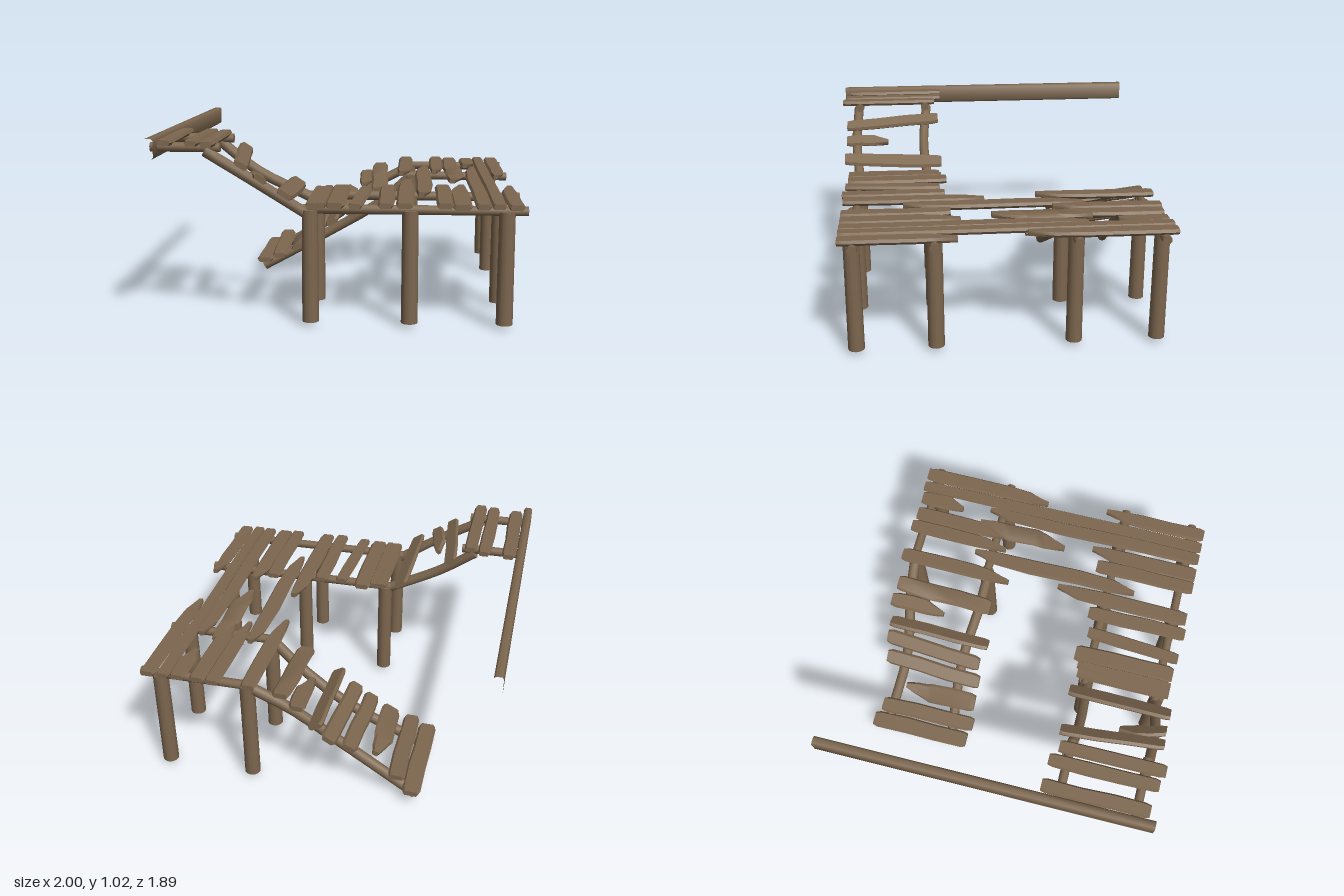
import * as THREE from 'three';
import { toCreasedNormals } from 'three/addons/utils/BufferGeometryUtils.js';

const wood = new THREE.MeshStandardMaterial({ color: 0x7d674f });
wood.name = 'weathered wood';

// Skin over equal-sized rings of points, each ring counter-clockwise about the direction of travel
function loft(rings, capped = true) {
  const n = rings[0].length, last = (rings.length - 1) * n, index = [];
  for (let i = 0; i < rings.length - 1; i++) {
    for (let k = 0; k < n; k++) {
      const a = i * n + k, b = i * n + (k + 1) % n;
      index.push(a, b, b + n, a, b + n, a + n);
    }
  }
  if (capped) {
    for (let k = 1; k < n - 1; k++) index.push(0, k + 1, k, last, last + k, last + k + 1);
  }
  const geo = new THREE.BufferGeometry();
  geo.setAttribute('position', new THREE.Float32BufferAttribute(rings.flat().flatMap(p => p.toArray()), 3));
  geo.setIndex(index);
  return toCreasedNormals(geo, 0.85);
}

// Small seeded generator for the uneven plank edges
let seed = 11;
function jitter(amount) {
  seed = (seed * 16807) % 2147483647;
  return (seed / 2147483647 - 0.5) * 2 * amount;
}

// Bevelled plank from the back end to the front end; a broken end narrows to a splinter
function plank([x0, y0, z0], [x1, y1, z1], width, { roll = 0, breakBack = false, breakFront = false } = {}) {
  const start = new THREE.Vector3(x0, y0, z0), end = new THREE.Vector3(x1, y1, z1);
  const length = start.distanceTo(end), thick = 0.03;
  const side = new THREE.Vector3(Math.cos(roll), Math.sin(roll), 0);
  const up = new THREE.Vector3(-Math.sin(roll), Math.cos(roll), 0);
  const section = [[0.5, 0], [0.38, 0.5], [-0.38, 0.5], [-0.5, 0], [-0.38, -0.5], [0.38, -0.5]];
  const tip = 0.03 / length, tear = Math.min(0.3, 0.13 / length);
  // [position, width factor, sideways shift]
  const stations = [
    ...(breakBack ? [[0, 0.3, 0.2], [tear * 0.5, 0.6, 0.14], [tear, 0.85, 0.05]] : [[0, 0.78, 0], [tip, 0.95, 0]]),
    [0.36, 1, jitter(0.05)], [0.66, 0.97, jitter(0.05)],
    ...(breakFront ? [[1 - tear, 0.88, -0.05], [1 - tear * 0.5, 0.6, -0.14], [1, 0.3, -0.2]] : [[1 - tip, 0.95, 0], [1, 0.78, 0]]),
  ];
  return loft(stations.map(([t, s, shift]) => {
    const centre = start.clone().lerp(end, t).addScaledVector(side, shift * width);
    const w = width * s * (1 + jitter(0.03));
    return section.map(([u, v]) => centre.clone().addScaledVector(side, u * w).addScaledVector(up, v * thick));
  }));
}

// Round pole through a few points, running towards +x
function pole(points, radius) {
  const curve = new THREE.CatmullRomCurve3(points.map(p => new THREE.Vector3(...p)));
  const steps = points.length > 2 ? 8 : 1, rings = [];
  for (let i = 0; i <= steps; i++) {
    const p = curve.getPoint(i / steps), d = curve.getTangent(i / steps);
    const n = new THREE.Vector3(-d.y, d.x, 0).normalize();
    const b = d.clone().cross(n);
    rings.push(Array.from({ length: 10 }, (_, k) => {
      const a = k / 10 * Math.PI * 2;
      return p.clone().addScaledVector(n, Math.cos(a) * radius).addScaledVector(b, Math.sin(a) * radius);
    }));
  }
  return loft(rings);
}

export function createModel() {
  const model = new THREE.Group();
  model.name = 'boardwalk';
  const group = name => {
    const g = new THREE.Group();
    g.name = name;
    model.add(g);
    return g;
  };
  const add = (parent, name, geo) => {
    const mesh = new THREE.Mesh(geo, wood);
    mesh.name = name;
    parent.add(mesh);
    return mesh;
  };

  // Posts
  const posts = group('posts');
  const postGeo = new THREE.CylinderGeometry(0.043, 0.045, 0.61, 12);
  for (const [z, xs] of [[0.83, [-0.15, 0.38, 0.885]], [0.4, [-0.15, 0.38, 0.885]], [-0.35, [0.38, 0.885]], [-0.81, [0.38, 0.885]]]) {
    for (const x of xs) add(posts, 'post', postGeo).position.set(x, 0.343, z);
  }

  // Rails under the planks
  const rails = group('rails');
  for (const z of [0.4, 0.82]) {
    add(rails, 'deckRail', pole([[-0.19, 0.65, z], [0.995, 0.65, z]], 0.026));
    add(rails, 'landingRail', pole([[-0.99, 0.975, z + 0.01], [-0.62, 0.975, z + 0.01]], 0.026));
  }
  for (const z of [-0.35, -0.81]) add(rails, 'deckRail', pole([[0.34, 0.65, z], [0.995, 0.65, z]], 0.026));
  add(rails, 'upperSlopeRail', pole([[-0.7, 0.955, 0.4], [-0.48, 0.79, 0.425], [-0.16, 0.63, 0.41]], 0.03));
  add(rails, 'upperSlopeRail', pole([[-0.7, 0.955, 0.84], [-0.44, 0.8, 0.85], [-0.16, 0.62, 0.825]], 0.03));
  add(rails, 'lowerSlopeRail', pole([[-0.57, 0.04, -0.36], [-0.12, 0.28, -0.4], [0.2, 0.48, -0.36], [0.38, 0.645, -0.34]], 0.031));
  add(rails, 'lowerSlopeRail', pole([[-0.57, 0.04, -0.79], [-0.14, 0.29, -0.75], [0.15, 0.52, -0.79], [0.38, 0.645, -0.81]], 0.031));

  // Long hollow edge beam, open at both ends
  const beamSection = [[1, -0.8], [1, 0.8], [0.6, 1], [-0.6, 1], [-1, 0.8], [-1, -0.8], [-0.6, -1], [0.6, -1]];
  add(model, 'edgeBeam', loft([-0.95, 0.94].map(z =>
    beamSection.map(([u, v]) => new THREE.Vector3(-0.975 + u * 0.025, 0.975 + v * 0.055, z))), false));

  // Flat deck planks: back x, back z, front x, front z, width, broken back, broken front
  const deck = group('deckPlanks');
  [
    [-0.13, 0.34, -0.135, 0.89, 0.08], [-0.085, 0.33, -0.09, 0.89, 0.06], [-0.015, 0.3, -0.015, 0.89, 0.11],
    [0.13, 0.345, 0.09, 0.9, 0.08], [0.255, 0.32, 0.25, 0.91, 0.09], [0.355, 0.1, 0.35, 0.9, 0.1, true],
    [0.46, -0.45, 0.46, 0.56, 0.1, true, true],
    [0.565, 0.3, 0.56, 0.9, 0.095], [0.655, 0.25, 0.65, 0.9, 0.11, true], [0.66, -0.47, 0.655, 0.08, 0.115, true, true],
    [0.765, -0.43, 0.76, 0.9, 0.09, true], [0.845, -0.88, 0.84, 0.9, 0.08],
    [0.93, 0.28, 0.93, 0.9, 0.095, true], [0.935, -0.88, 0.925, -0.09, 0.095, false, true],
    [0.765, -0.87, 0.765, -0.6, 0.1, false, true], [0.65, -0.87, 0.64, -0.3, 0.1, false, true],
    [0.56, -0.88, 0.55, -0.27, 0.09, false, true], [0.355, -0.88, 0.345, -0.2, 0.095, false, true],
  ].forEach(([xb, zb, xf, zf, w, breakBack, breakFront]) => {
    const y = 0.682 + jitter(0.004);
    add(deck, 'deckPlank', plank([xb, y, zb], [xf, y, zf], w, { breakBack, breakFront }));
  });

  // Upper landing and the slope down to the deck
  const upper = group('upperPlanks');
  const down = { roll: -0.58 };
  add(upper, 'landingPlank', plank([-0.905, 1.003, 0.305], [-0.905, 1.003, 0.9], 0.085));
  add(upper, 'landingPlank', plank([-0.76, 1.003, 0.31], [-0.76, 1.003, 0.92], 0.08));
  add(upper, 'landingPlank', plank([-0.675, 1.0, 0.35], [-0.675, 1.0, 0.94], 0.08));
  add(upper, 'upperSlopePlank', plank([-0.56, 0.915, 0.33], [-0.5, 0.89, 0.91], 0.09, down));
  add(upper, 'upperSlopePlank', plank([-0.46, 0.805, 0.65], [-0.4, 0.82, 0.91], 0.09, { ...down, breakBack: true }));
  add(upper, 'upperSlopePlank', plank([-0.26, 0.715, 0.32], [-0.275, 0.74, 0.92], 0.105, down));

  // Slope from the deck to the ground: back x, y, z, front x, y, z, width, roll, broken back, broken front
  const lower = group('lowerSlopePlanks');
  [
    [-0.555, 0.1, -0.87, -0.555, 0.1, -0.26, 0.11, 0.03],
    [-0.465, 0.165, -0.83, -0.455, 0.135, -0.24, 0.1, 0.05],
    [-0.345, 0.2, -0.71, -0.33, 0.195, -0.26, 0.125, 0.5, true],
    [-0.2, 0.345, -0.855, -0.21, 0.27, -0.26, 0.1, 0.5],
    [-0.09, 0.4, -0.88, -0.12, 0.35, -0.28, 0.1, 0.55],
    [-0.015, 0.475, -0.87, -0.005, 0.415, -0.25, 0.105, -0.5],
    [0.085, 0.59, -0.88, 0.095, 0.555, -0.55, 0.1, 0.1, false, true],
    [0.18, 0.645, -0.86, 0.185, 0.565, -0.28, 0.11, 0.05],
  ].forEach(([xb, yb, zb, xf, yf, zf, w, roll, breakBack, breakFront]) => {
    add(lower, 'lowerSlopePlank', plank([xb, yb, zb], [xf, yf, zf], w, { roll, breakBack, breakFront }));
  });

  return model;
}
